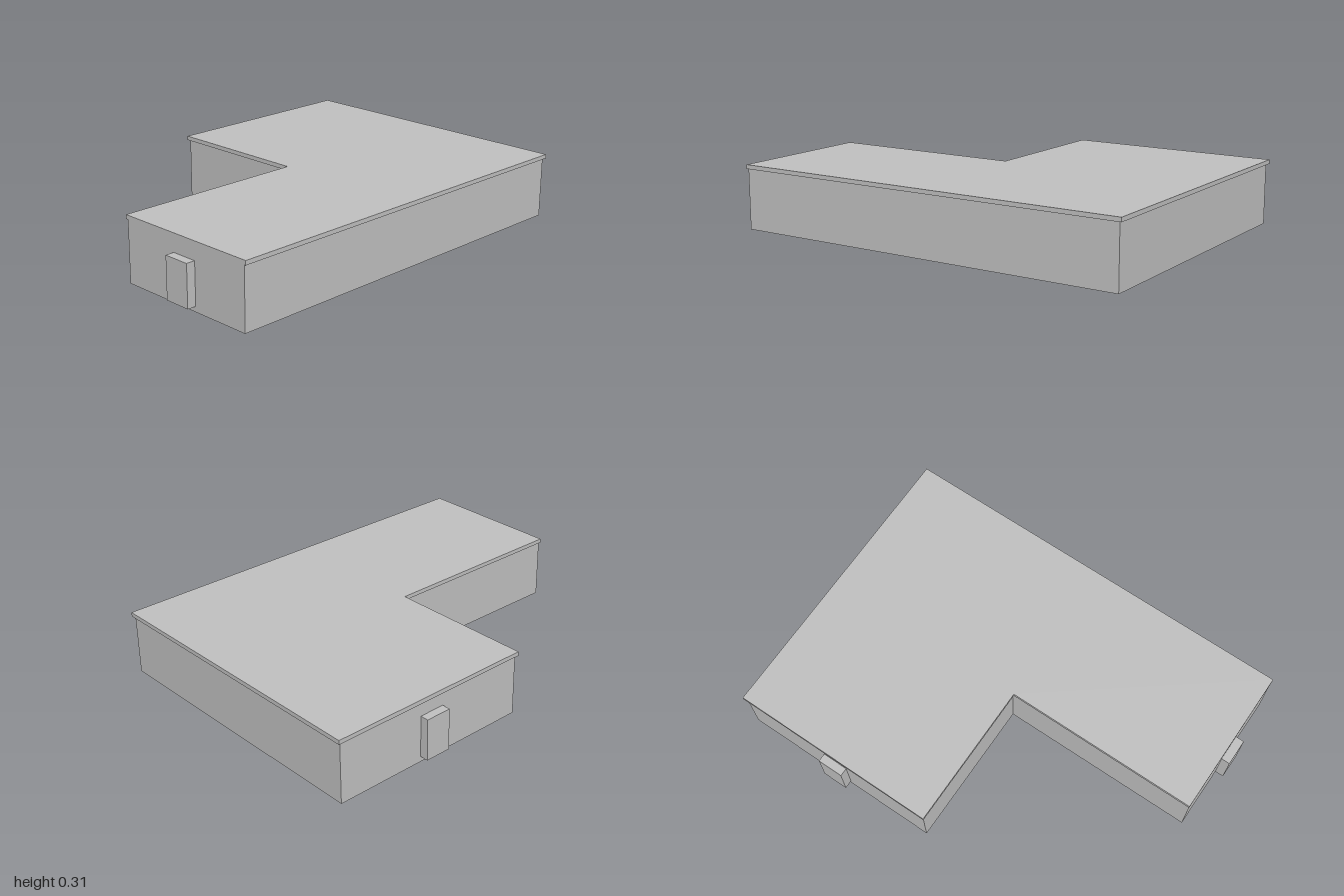
import * as THREE from 'three';

// L-shaped slab: back wing spans the full width, front wing sits on +x
function lSlab(x0, xInner, x1, zBack, zInner, zFront, y0, y1) {
  const outline = [
    [x0, zBack], [x1, zBack], [x1, zFront],
    [xInner, zFront], [xInner, zInner], [x0, zInner],
  ];
  const shape = new THREE.Shape(outline.map(([x, z]) => new THREE.Vector2(x, -z)));
  const geo = new THREE.ExtrudeGeometry(shape, { depth: y1 - y0, bevelEnabled: false });
  return geo.rotateX(-Math.PI / 2).translate(0, y0, 0);
}

export function createModel() {
  const model = new THREE.Group();
  model.name = 'building';
  const grey = new THREE.MeshStandardMaterial({ color: 0xbfbfbf });
  grey.name = 'plain grey';

  const add = (name, geo) => {
    const mesh = new THREE.Mesh(geo, grey);
    mesh.name = name;
    model.add(mesh);
  };
  const box = (x0, x1, y0, y1, z0, z1) =>
    new THREE.BoxGeometry(x1 - x0, y1 - y0, z1 - z0)
      .translate((x0 + x1) / 2, (y0 + y1) / 2, (z0 + z1) / 2);

  // Walls and floor
  add('walls', lSlab(-0.70, 0.013, 0.726, -0.988, 0.005, 0.958, 0, 0.3));

  // Flat roof with a slight overhang
  add('roof', lSlab(-0.71, 0.004, 0.736, -1, 0.015, 0.96, 0.288, 0.308));

  // Raised doors on the front and the right side
  add('frontDoor', box(0.306, 0.435, 0.025, 0.222, 0.95, 1));
  add('sideDoor', box(-0.74, -0.69, 0.025, 0.222, -0.555, -0.43));

  return model;
}
